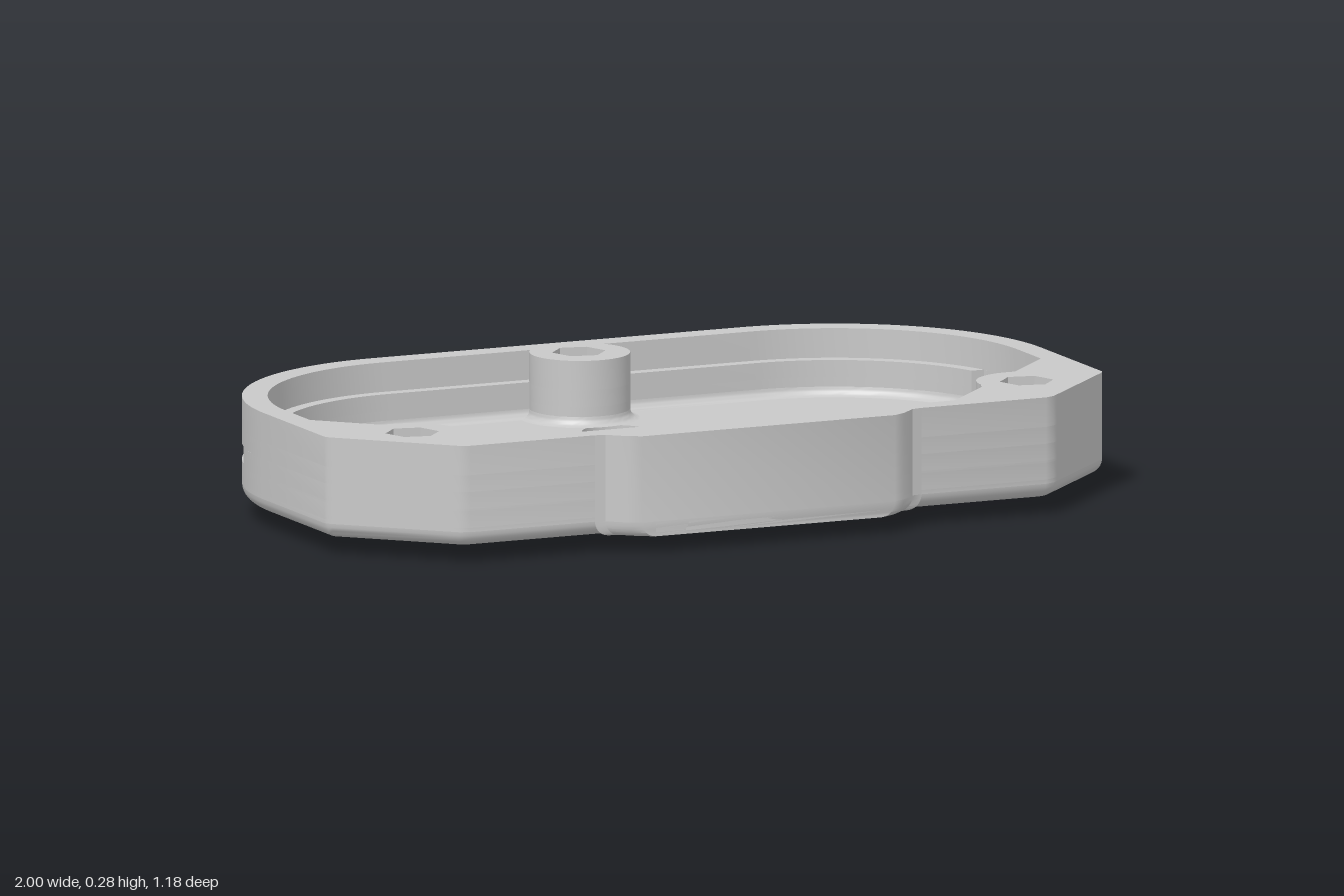
import * as THREE from 'three';
import { toCreasedNormals } from 'three/addons/utils/BufferGeometryUtils.js';

const DEG = Math.PI / 180;

// Points are [x, z] pairs, listed from the back round the +x side to the front.
const arc = (cx, cz, r, a0, a1, n = 20) => Array.from({ length: n + 1 }, (_, i) => {
  const a = (a0 + (a1 - a0) * i / n) * DEG;
  return [cx + r * Math.cos(a), cz + r * Math.sin(a)];
});
const circle = (x, z, r, n = 40, turn = 0) => arc(x, z, r, turn, turn + 360, n).slice(0, n);
const hexagon = (x, z) => circle(x, z, 0.064, 6, 12);
const mirror = half => [...half, ...half.filter(p => p[0] > 1e-6).reverse().map(([x, z]) => [-x, z])];

// Moves a closed outline inwards by d with mitred corners
function inset(pts, d) {
  const n = pts.length;
  const normal = (a, b) => {
    const dx = b[0] - a[0], dz = b[1] - a[1], l = Math.hypot(dx, dz);
    return [-dz / l, dx / l];
  };
  return pts.map((p, i) => {
    const u = normal(pts[(i + n - 1) % n], p), v = normal(p, pts[(i + 1) % n]);
    const k = d / Math.max(0.4, 1 + u[0] * v[0] + u[1] * v[1]);
    return [p[0] + (u[0] + v[0]) * k, p[1] + (u[1] + v[1]) * k];
  });
}

// Flat slab between two heights; holes wind opposite to the outline so their walls face inwards
function slab(outline, holes, y0, y1) {
  const toVec = pts => pts.map(([x, z]) => new THREE.Vector2(x, -z));
  const shape = new THREE.Shape(toVec(outline).reverse());
  shape.holes = holes.map(h => new THREE.Path(toVec(h)));
  const g = new THREE.ExtrudeGeometry(shape, { depth: y1 - y0, bevelEnabled: false });
  g.rotateX(-Math.PI / 2).translate(0, y0, 0);
  return toCreasedNormals(g, 0.5);
}

// Skin between successive rings of { pts, y }
function loft(rings) {
  const pos = [];
  for (let k = 0; k + 1 < rings.length; k++) {
    const A = rings[k], B = rings[k + 1], n = A.pts.length;
    for (let i = 0; i < n; i++) {
      const j = (i + 1) % n;
      const at = (R, m) => [R.pts[m][0], R.y, R.pts[m][1]];
      pos.push(...at(A, i), ...at(A, j), ...at(B, j), ...at(A, i), ...at(B, j), ...at(B, i));
    }
  }
  const g = new THREE.BufferGeometry();
  g.setAttribute('position', new THREE.Float32BufferAttribute(pos, 3));
  return toCreasedNormals(g, 0.6);
}

const STEPS = [0, 15, 30, 45, 60, 75, 90];
// Rounded outer edge, from the side wall down to the underside
const roundedEdge = (pts, r, y, shrink = inset) => loft(STEPS.map(a => ({
  pts: shrink(pts, r * (1 - Math.cos(a * DEG))), y: y + r * (1 - Math.sin(a * DEG)) })));
// Hollow fillet, from the floor up to the inner wall
const hollowFillet = (pts, r, y) => loft(STEPS.map(a => ({
  pts: inset(pts, r * (1 - Math.sin(a * DEG))), y: y + r * (1 - Math.cos(a * DEG)) })));
// Shrinks an outline sideways only
const narrow = (pts, d) => pts.map(([x, z]) => [x - Math.sign(x) * d, z]);

// Outer outline, optionally notched by the vent slots
function outerOutline(slots) {
  const C = [0.47, -0.06], a0 = -85.7, a1 = -17.6;
  const back = slots
    ? [[0.1, -0.59], [0.1, -0.53], [0.435, -0.53], [0.435, -0.59],
      ...arc(...C, 0.53, -90, a0, 2), ...arc(...C, 0.475, a0, a1), ...arc(...C, 0.53, a1, 0, 8)]
    : arc(...C, 0.53, -90, 0, 32);
  return mirror([...back, [1, 0.28], [0.996, 0.289], [0.989, 0.298],
    [0.78, 0.505], [0.765, 0.52], [0.74, 0.53]]);
}

// Pocket outline: back post, curved back wall, screw bosses, front wall
function pocketOutline(ledge) {
  const r = ledge ? 0.44 : 0.47, C = [0.47, -0.06];
  const wallZ = C[1] - r;
  const neck = Math.acos((wallZ + 0.46) / 0.118) / DEG;
  const aIn = -Math.asin(0.14 / 0.44) / DEG, aOut = -Math.asin(0.14 / 0.47) / DEG;
  const back = ledge
    ? [...arc(...C, 0.44, -90, aIn, 24), ...arc(...C, 0.47, aOut, 0, 6)]
    : arc(...C, 0.47, -90, 0, 32);
  return mirror([
    ...arc(0, -0.46, 0.118, 90, 90 - neck, 20), ...back,
    [0.94, 0.07], [0.815, 0.197], ...arc(0.79, 0.315, 0.118, -88, -180, 14),
    [0.66, 0.345], [0.53, 0.475]]);
}

export function createModel() {
  const model = new THREE.Group();
  const grey = new THREE.MeshStandardMaterial({ color: 0xc8c8c8 });
  grey.name = 'grey';
  const add = (name, geometry) => {
    const mesh = new THREE.Mesh(geometry, grey);
    mesh.name = name;
    model.add(mesh);
  };

  const outer = outerOutline(false), slotted = outerOutline(true);
  const ledged = pocketOutline(true), open = pocketOutline(false);
  const screws = [[0, -0.465], [0.79, 0.315], [-0.79, 0.315]];
  const screwHoles = screws.map(([x, z]) => circle(x, z, 0.034, 24));
  const nutPockets = screws.map(([x, z]) => hexagon(x, z));
  // Floor holes: x, z, bore radius, counterbore radius
  const bores = [[0.39, -0.07, 0.065, 0.14], [-0.39, -0.07, 0.065, 0.14], [0, -0.26, 0.043, 0.079]];

  // Base with rounded lower edge
  add('basePlate', slab(inset(outer, 0.035),
    [...screwHoles, ...bores.map(([x, z, r]) => circle(x, z, r))], 0.04, 0.085));
  add('baseRoundedEdge', roundedEdge(outer, 0.035, 0.04));
  add('baseSide', slab(outer, [inset(outer, 0.035)], 0.075, 0.085));
  add('floor', slab(outer,
    [...screwHoles, ...bores.map(([x, z, , r]) => circle(x, z, r))], 0.085, 0.125));
  add('floorFillet', hollowFillet(ledged, 0.022, 0.125));

  // Wall, with vent slots in the second layer and the ledge ending below the rim
  add('lowerWall', slab(outer, [ledged, ...screwHoles], 0.125, 0.13));
  add('slottedWall', slab(slotted, [ledged, ...screwHoles], 0.13, 0.17));
  add('ledgeWall', slab(outer, [ledged, ...nutPockets], 0.17, 0.21));
  add('rimWall', slab(outer, [open, ...nutPockets], 0.21, 0.28));

  // Front tab: square front edge, sides rounded underneath
  const tab = mirror([[0.42, 0.485], [0.42, 0.53], [0.395, 0.535], [0.355, 0.572], [0.325, 0.588]]);
  add('frontTab', slab(tab, [], 0.075, 0.28));
  add('frontTabEdge', roundedEdge(tab, 0.035, 0.04, narrow));
  add('frontTabBase', slab(narrow(tab, 0.035), [], 0.04, 0.075));

  // D-shaped ring under the base
  const dRing = mirror([...arc(0.16, -0.405, 0.03, -90, 0, 6), ...arc(0, -0.22, 0.19, 0, 90, 20)]);
  add('undersideRing', slab(inset(dRing, 0.02), [inset(dRing, 0.05)], 0, 0.04));
  add('undersideRingEdge', roundedEdge(dRing, 0.02, 0));
  add('undersideRingSide', slab(dRing, [inset(dRing, 0.02)], 0.02, 0.04));

  return model;
}
